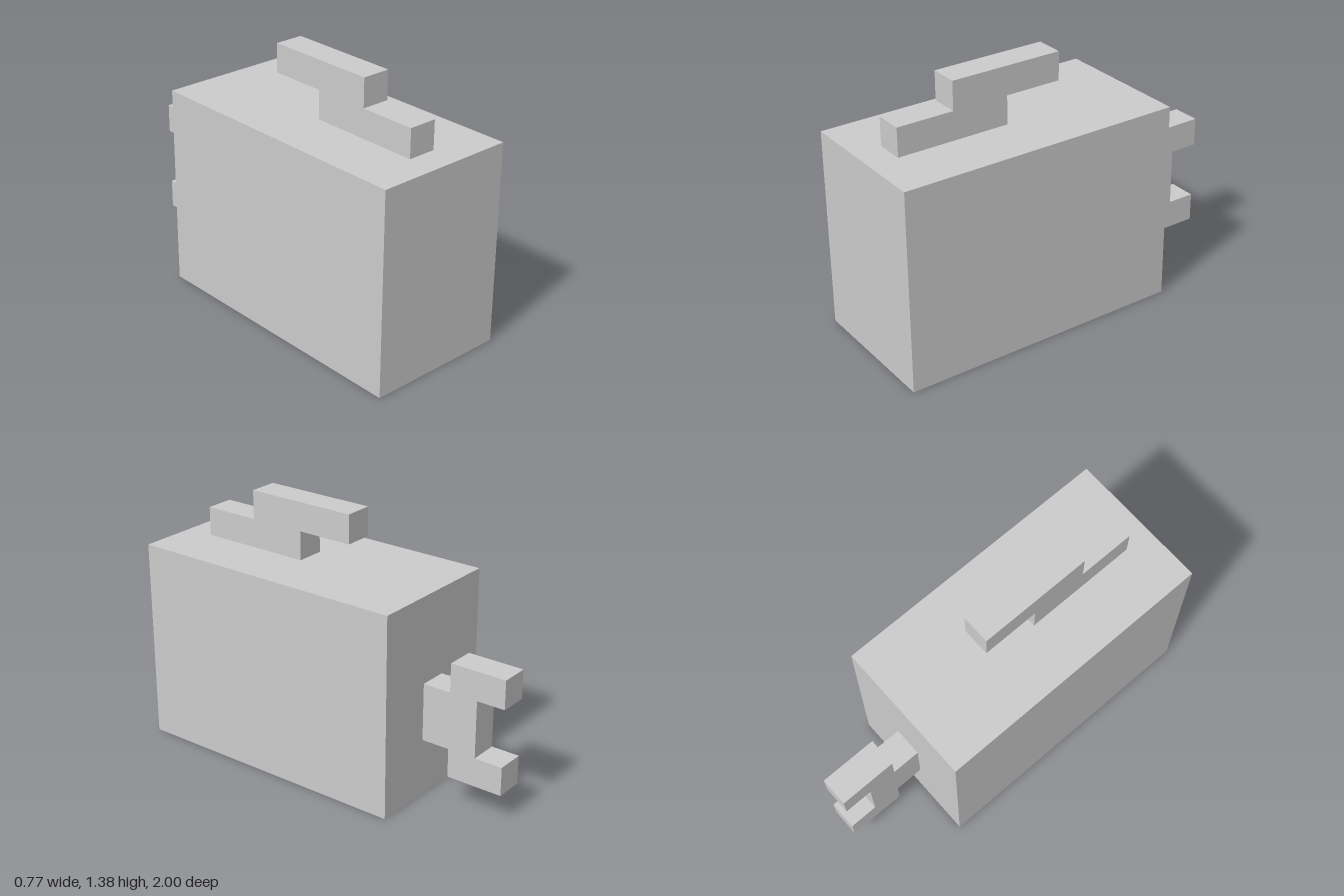
import * as THREE from 'three';

const U = 2 / 13; // grid unit: every edge falls on a whole or half unit

export function createModel() {
  const group = new THREE.Group();
  const material = new THREE.MeshStandardMaterial({ color: 0xcccccc, flatShading: true });

  // Extrude a side outline of [z, y] points, in units, centred across x
  function addSidePart(name, width, outline) {
    const shape = new THREE.Shape(outline.map(([z, y]) => new THREE.Vector2(z * U, y * U)));
    const geometry = new THREE.ExtrudeGeometry(shape, { depth: width * U, bevelEnabled: false });
    geometry.translate(0, 0, -width * U / 2).rotateY(-Math.PI / 2);
    const mesh = new THREE.Mesh(geometry, material);
    mesh.name = name;
    group.add(mesh);
  }

  // Main block
  const body = new THREE.Mesh(new THREE.BoxGeometry(5 * U, 7 * U, 10 * U), material);
  body.name = 'body';
  body.position.set(0, 3.5 * U, 1.5 * U);
  group.add(body);

  // Stepped lever on top, overhanging towards the back
  addSidePart('topLever', 1, [
    [1.5, 7], [5.5, 7], [5.5, 8], [3.5, 8], [3.5, 9], [-0.5, 9], [-0.5, 8], [1.5, 8],
  ]);

  // Forked bracket on the back
  addSidePart('backFork', 1, [
    [-3.5, 2], [-3.5, 4], [-4.5, 4], [-4.5, 5], [-6.5, 5], [-6.5, 4],
    [-5.5, 4], [-5.5, 2], [-6.5, 2], [-6.5, 1], [-4.5, 1], [-4.5, 2],
  ]);

  return group;
}
